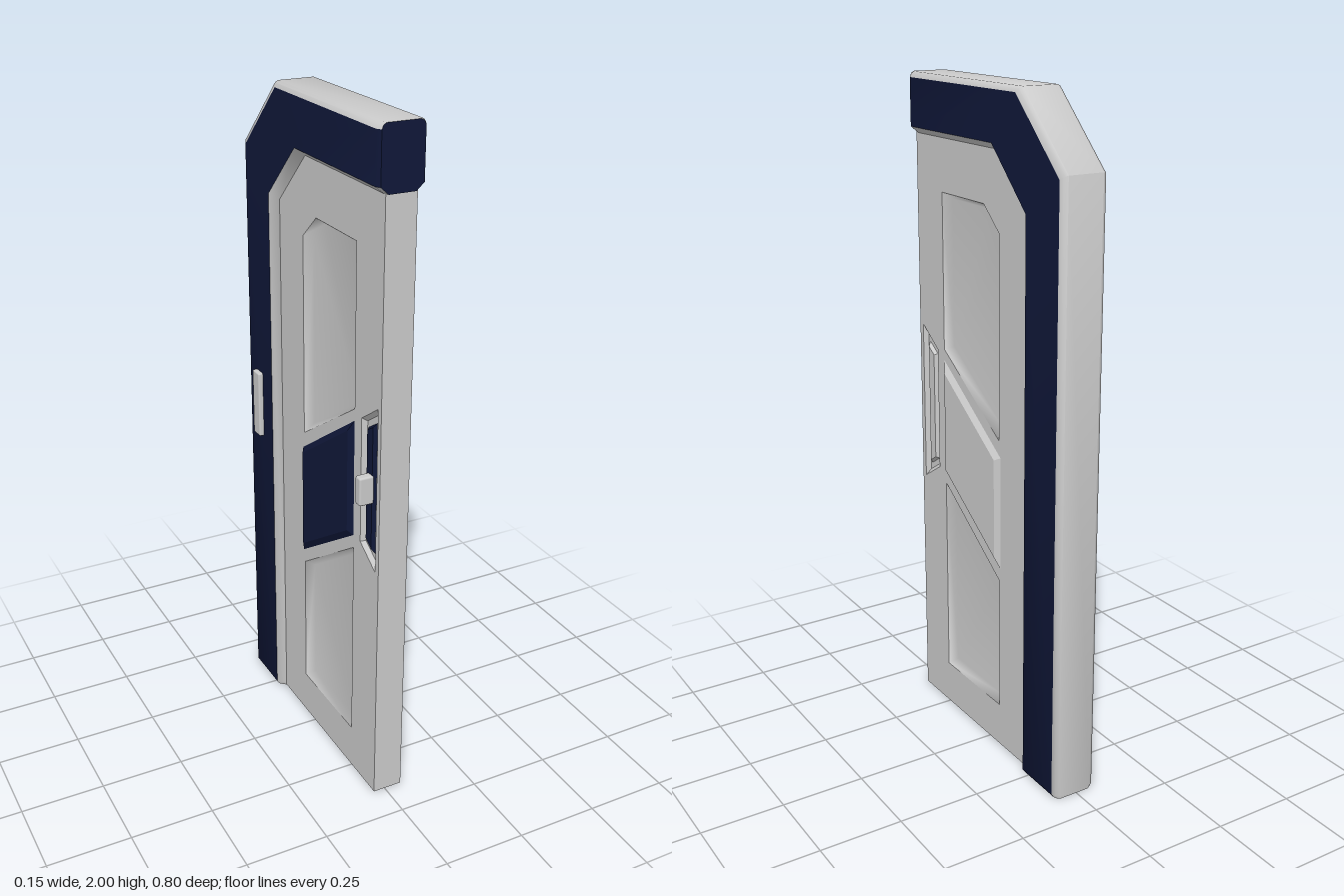
import * as THREE from 'three';
import { toCreasedNormals } from 'three/addons/utils/BufferGeometryUtils.js';
import { RoundedBoxGeometry } from 'three/addons/geometries/RoundedBoxGeometry.js';

const grey = new THREE.MeshStandardMaterial({ color: 0xcccccc });
const navy = new THREE.MeshStandardMaterial({ color: 0x10183a });
const V2 = (p) => new THREE.Vector2(p[0], p[1]);

function add(parent, name, geometry, material) {
  const mesh = new THREE.Mesh(geometry, material);
  mesh.name = name;
  parent.add(mesh);
  return mesh;
}

// Outlines are [u, y] with u = -z, counter-clockwise as seen from +x.
function inset(pts, d) {
  return pts.map((p, i) => {
    const a = V2(pts[(i + pts.length - 1) % pts.length]), b = V2(p), c = V2(pts[(i + 1) % pts.length]);
    const e = b.clone().sub(a).normalize(), f = c.sub(b).normalize();
    const n = new THREE.Vector2(-e.y - f.y, e.x + f.x);
    const k = d / (1 + e.dot(f));
    return [p[0] + n.x * k, p[1] + n.y * k];
  });
}

// Sloped walls from one outline to an inset one, closed by a floor; side is +1 or -1 in x.
function tray(pts, xOuter, d, xInner, side, smooth) {
  const inner = inset(pts, d), n = pts.length, pos = [], idx = [];
  pts.forEach(([u, y]) => pos.push(side * xOuter, y, -u));
  inner.forEach(([u, y]) => pos.push(side * xInner, y, -u));
  const tri = (a, b, c) => (side > 0 ? idx.push(a, b, c) : idx.push(a, c, b));
  for (let i = 0; i < n; i++) {
    const j = (i + 1) % n;
    tri(i, j, n + j);
    tri(i, n + j, n + i);
  }
  THREE.ShapeUtils.triangulateShape(inner.map(V2), []).forEach(([a, b, c]) => tri(n + a, n + b, n + c));
  let g = new THREE.BufferGeometry();
  g.setAttribute('position', new THREE.Float32BufferAttribute(pos, 3));
  g.setIndex(idx);
  if (!smooth) g = g.toNonIndexed();
  g.computeVertexNormals();
  return g;
}

// Frame path: outer corner, inner corner and thickness factor at each station.
const stations = [
  [[-0.4, 2], [-0.4, 1.845], 0.88],
  [[-0.385, 2], [-0.385, 1.845], 1],
  [[0.19, 2], [0.06, 1.845], 1],
  [[0.4, 1.8], [0.23, 1.68], 1],
  [[0.4, 0.012], [0.23, 0.012], 1],
  [[0.4, 0], [0.23, 0], 0.88],
];
// Frame section: [position from outer to inner corner, x].
const half = [[1.13, 0.044], [1, 0.0695], [0.1, 0.0695], [0.03, 0.064], [0, 0.054]];
const section = [...half, ...half.map(([t, x]) => [t, -x]).reverse()];

function frameStrips(bands, caps) {
  const rows = stations.map(([o, i, k]) => section.map(([t, x]) =>
    [x * k, o[1] + (i[1] - o[1]) * t, -(o[0] + (i[0] - o[0]) * t)]));
  const pos = [];
  for (let s = 0; s + 1 < rows.length; s++) {
    for (const j of bands) {
      const a = rows[s][j], b = rows[s + 1][j], c = rows[s + 1][j + 1], d = rows[s][j + 1];
      pos.push(...a, ...b, ...c, ...a, ...c, ...d);
    }
  }
  if (caps) {
    const first = rows[0], last = rows[rows.length - 1];
    for (let j = 1; j + 1 < section.length; j++) {
      pos.push(...first[0], ...first[j], ...first[j + 1], ...last[0], ...last[j + 1], ...last[j]);
    }
  }
  const g = new THREE.BufferGeometry();
  g.setAttribute('position', new THREE.Float32BufferAttribute(pos, 3));
  g.computeVertexNormals();
  return toCreasedNormals(g, 0.85);
}

export function createModel() {
  const model = new THREE.Group();
  model.name = 'door';
  const leaf = new THREE.Group();
  leaf.name = 'doorLeaf';
  leaf.position.x = 0.007;
  model.add(leaf);

  // Angled frame: coloured faces, plain rim and inner bevels
  add(leaf, 'frameFaces', frameStrips([1, 7], true), navy);
  add(leaf, 'frameRim', frameStrips([2, 3, 4, 5, 6], false), grey);
  add(leaf, 'frameInnerBevel', frameStrips([0, 8], false), grey);

  // Panel with openings that the trays close on both sides
  const face = 0.045;
  const upper = [[-0.25, 1.2], [0.06, 1.0], [0.06, 1.6], [-0.02, 1.67], [-0.25, 1.67]];
  const lower = [[-0.25, 0.14], [0.06, 0.14], [0.06, 0.56], [-0.25, 0.77]];
  const grip = [[-0.378, 0.755], [-0.29, 0.81], [-0.29, 1.19], [-0.378, 1.25]];
  const outline = [[-0.396, 0.004], [0.3, 0.004], [0.3, 1.74], [0.12, 1.92], [-0.396, 1.92]];
  const shape = new THREE.Shape(outline.map(V2));
  shape.holes = [upper, lower, grip].map((h) => new THREE.Path(h.map(V2)));
  const panel = new THREE.ExtrudeGeometry(shape, { depth: 2 * face, bevelEnabled: false });
  panel.translate(0, 0, -face).rotateY(Math.PI / 2);
  add(leaf, 'panel', panel, grey);

  // Recesses, raised middle plate and grip on each face
  const plate = [[-0.25, 0.81], [0.067, 0.6], [0.067, 0.95], [-0.25, 1.165]];
  const bar = [[-0.357, 0.8], [-0.31, 0.83], [-0.31, 1.17], [-0.357, 1.2]];
  for (const side of [1, -1]) {
    const name = side > 0 ? 'left' : 'right';
    const accent = side > 0 ? grey : navy;
    add(leaf, name + 'UpperRecess', tray(upper, face, 0.018, face - 0.025, side, true), grey);
    add(leaf, name + 'LowerRecess', tray(lower, face, 0.018, face - 0.025, side, true), grey);
    add(leaf, name + 'MiddlePlate', tray(plate, face, 0.018, face + 0.012, side, false), accent);
    add(leaf, name + 'GripRecess', tray(grip, face, 0.012, face - 0.012, side, false), grey);
    add(leaf, name + 'GripBar', tray(bar, face - 0.013, 0.008, face - 0.002, side, false), accent);
  }

  // Latch knob and hinge plate on the right face
  const knob = add(model, 'latchKnob', new RoundedBoxGeometry(0.045, 0.085, 0.028, 2, 0.006), grey);
  knob.position.set(-0.0535, 1.0, 0.339);
  const hinge = add(model, 'hingePlate', new RoundedBoxGeometry(0.025, 0.21, 0.045, 2, 0.005), grey);
  hinge.position.set(-0.0645, 1.0, -0.318);

  return model;
}
